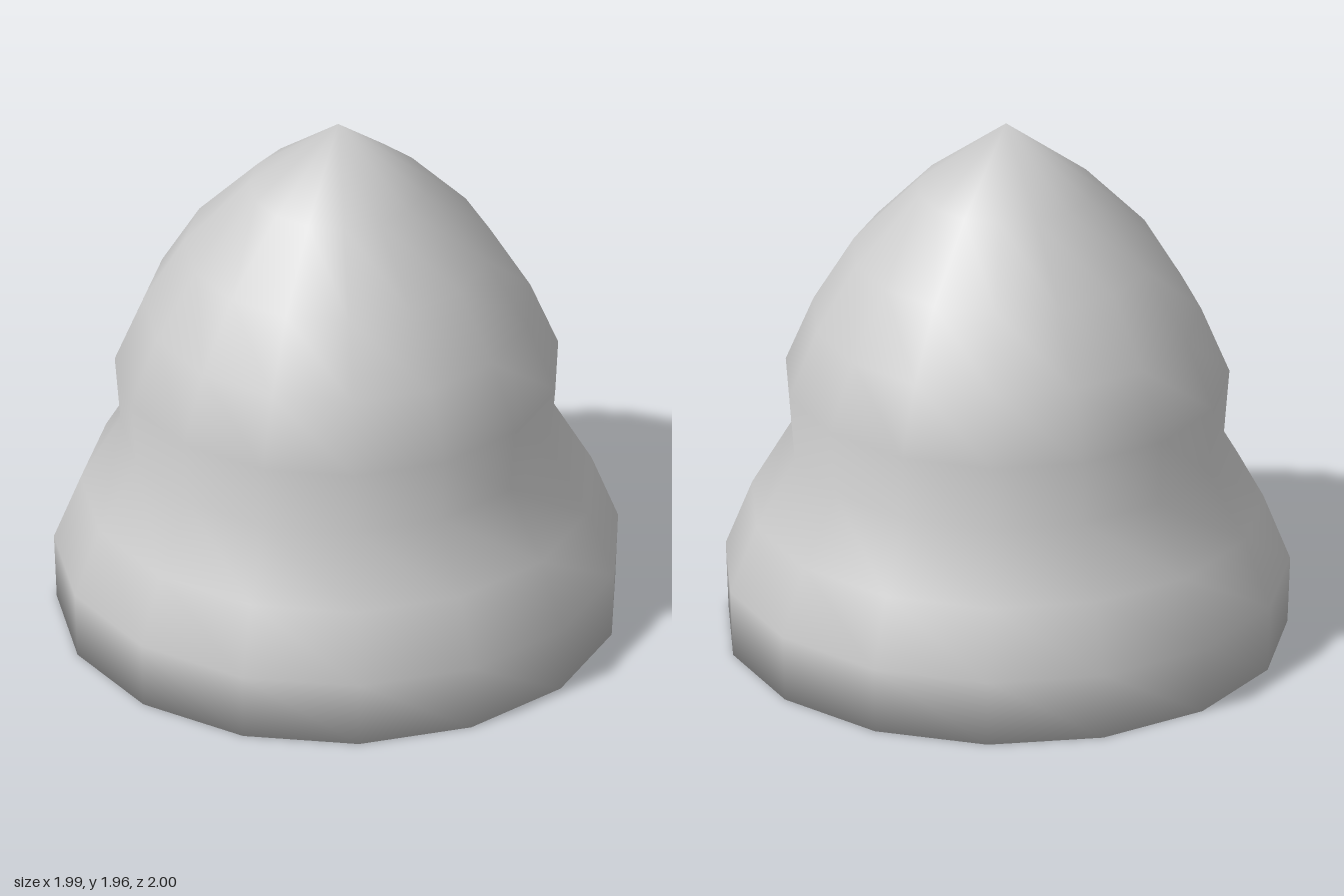
import * as THREE from 'three';
import { mergeVertices } from 'three/addons/utils/BufferGeometryUtils.js';

// Radii of the evenly spaced rings, from the base to the tip
const RADII = [0.995, 1.005, 0.91, 0.77, 0.79, 0.69, 0.545, 0.315, 0];
const STEP = 0.245;
const SIDES = 15;

export function createModel() {
  const group = new THREE.Group();
  group.name = 'pointedDome';

  // Closed profile: base centre, then up the wall to the tip
  const profile = [new THREE.Vector2(0, 0)];
  RADII.forEach((r, i) => profile.push(new THREE.Vector2(r, i * STEP)));

  // One corner of the 15-sided body points to +x
  let geometry = new THREE.LatheGeometry(profile, SIDES, Math.PI / 2);

  // Share all corners so the shading rolls smoothly over neck and base rim
  geometry.deleteAttribute('normal');
  geometry.deleteAttribute('uv');
  geometry = mergeVertices(geometry, 1e-4);
  geometry.computeVertexNormals();

  const body = new THREE.Mesh(
    geometry,
    new THREE.MeshStandardMaterial({ color: 0xcccccc })
  );
  body.name = 'body';
  body.position.x = -0.011; // centres the odd-sided outline
  group.add(body);
  return group;
}
